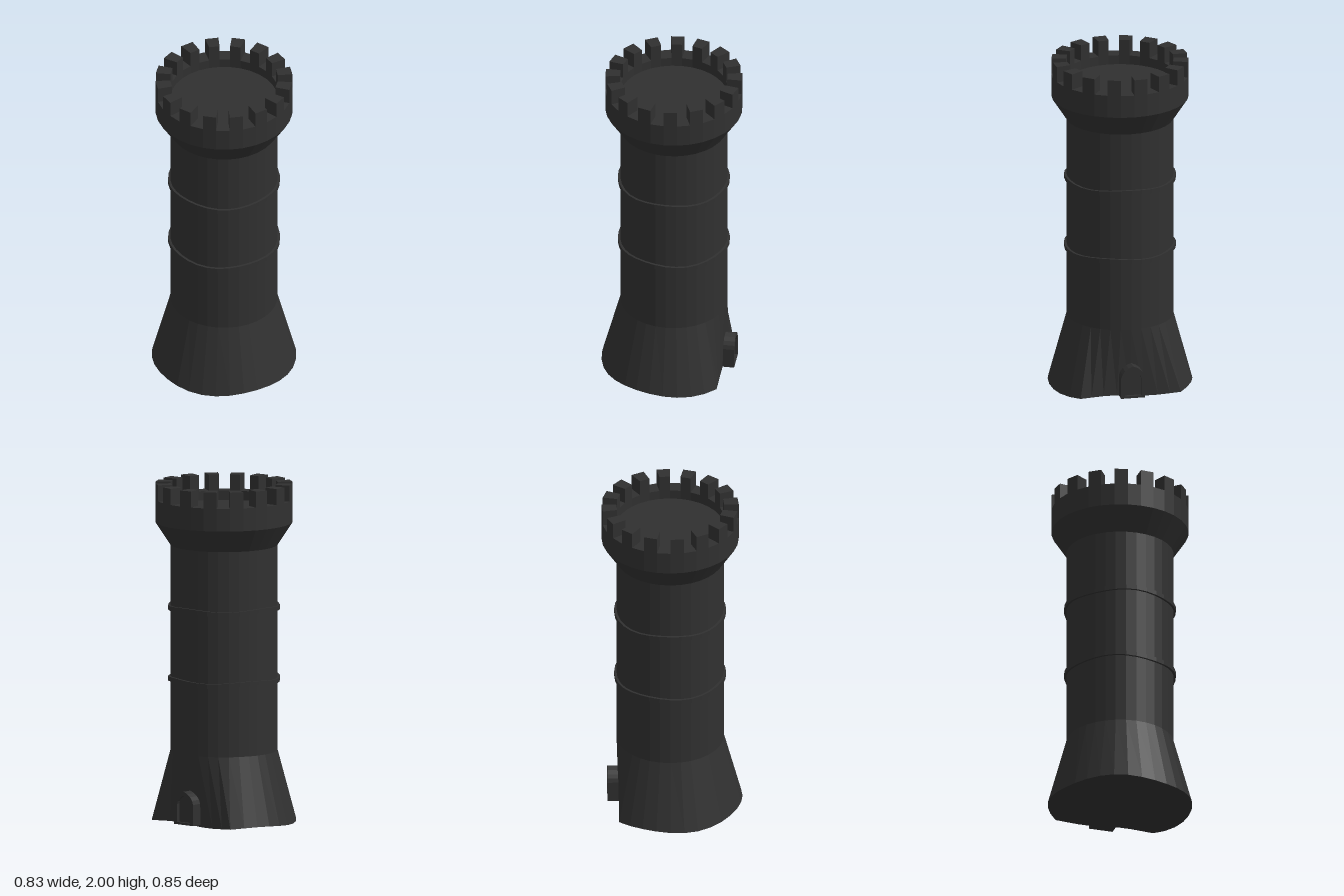
import * as THREE from 'three';

const SIDES = 32;
const STEP = (Math.PI * 2) / SIDES;

// Shift heights slightly round the tower, for uneven stonework
function weather(geometry, amount, phase) {
  const p = geometry.attributes.position;
  for (let i = 0; i < p.count; i++) {
    const a = Math.atan2(p.getZ(i), p.getX(i));
    p.setY(i, p.getY(i) + amount * Math.sin(a * 4 + phase));
  }
  geometry.computeVertexNormals();
  return geometry;
}

function lathe(points) {
  return new THREE.LatheGeometry(points.map(([r, y]) => new THREE.Vector2(r, y)), SIDES);
}

// Pointed arch outline, standing on y = bottom
function arch(Type, half, bottom, spring, peak) {
  const s = new Type();
  const rise = peak - spring;
  s.moveTo(-half, bottom);
  s.lineTo(half, bottom);
  s.lineTo(half, spring);
  s.quadraticCurveTo(half * 0.85, spring + rise * 0.7, 0, peak);
  s.quadraticCurveTo(-half * 0.85, spring + rise * 0.7, -half, spring);
  s.closePath();
  return s;
}

export function createModel() {
  const model = new THREE.Group();
  model.name = 'tower';
  const stone = new THREE.MeshStandardMaterial({ color: 0x303030, flatShading: true });
  stone.name = 'dark stone';

  const tower = new THREE.Group();
  tower.name = 'towerBody';
  tower.position.x = 0.007;
  model.add(tower);

  const add = (parent, name, geometry) => {
    const mesh = new THREE.Mesh(geometry, stone);
    mesh.name = name;
    parent.add(mesh);
    return mesh;
  };

  // Flared foot, cut flat behind the door
  const foot = lathe([[0, 0.008], [0.424, 0.008], [0.314, 0.42]]);
  const p = foot.attributes.position;
  for (let i = 0; i < p.count; i++) {
    if (p.getY(i) < 0.1) {
      p.setX(i, Math.min(p.getX(i), 0.3));
      p.setY(i, 0.008 + 0.008 * Math.sin(4 * Math.atan2(p.getZ(i), p.getX(i))));
    }
  }
  foot.computeVertexNormals();
  add(tower, 'foot', foot);

  // Shaft, corbelled flare, parapet and sunken roof floor
  add(tower, 'shaft', lathe([[0.314, 0.42], [0.314, 1.635]]));
  add(tower, 'parapet', lathe([
    [0.314, 1.635], [0.402, 1.77], [0.402, 1.905],
    [0.316, 1.905], [0.316, 1.85], [0, 1.85],
  ]));

  // Thin stone bands
  [0.845, 1.27].forEach((y, i) => {
    const band = lathe([
      [0.31, y - 0.013], [0.328, y - 0.013], [0.328, y + 0.013], [0.31, y + 0.013],
    ]);
    add(tower, 'band', weather(band, 0.006, i * 1.3));
  });

  // Merlons on every other segment
  for (let k = 1; k < SIDES; k += 2) {
    const a = k * STEP;
    const b = a + STEP;
    const corner = (r, t) => new THREE.Vector2(r * Math.cos(t), -r * Math.sin(t));
    const shape = new THREE.Shape([
      corner(0.316, a), corner(0.402, a), corner(0.402, b), corner(0.316, b),
    ]);
    const g = new THREE.ExtrudeGeometry(shape, { depth: 0.095, bevelEnabled: false });
    g.rotateX(-Math.PI / 2);
    add(tower, 'merlon', g).position.y = 1.905;
  }

  // Doorway with a pointed arch frame and recessed door
  const doorway = new THREE.Group();
  doorway.name = 'doorway';
  doorway.rotation.y = Math.PI / 2;
  model.add(doorway);
  const frame = arch(THREE.Shape, 0.072, 0.015, 0.14, 0.212);
  frame.holes.push(arch(THREE.Path, 0.05, 0.028, 0.135, 0.188));
  const options = { bevelEnabled: false, curveSegments: 4 };
  add(doorway, 'doorFrame', new THREE.ExtrudeGeometry(frame, { ...options, depth: 0.09 }))
    .position.z = 0.285;
  add(doorway, 'door', new THREE.ExtrudeGeometry(
    arch(THREE.Shape, 0.052, 0.026, 0.135, 0.19), { ...options, depth: 0.07 },
  )).position.z = 0.285;

  return model;
}
